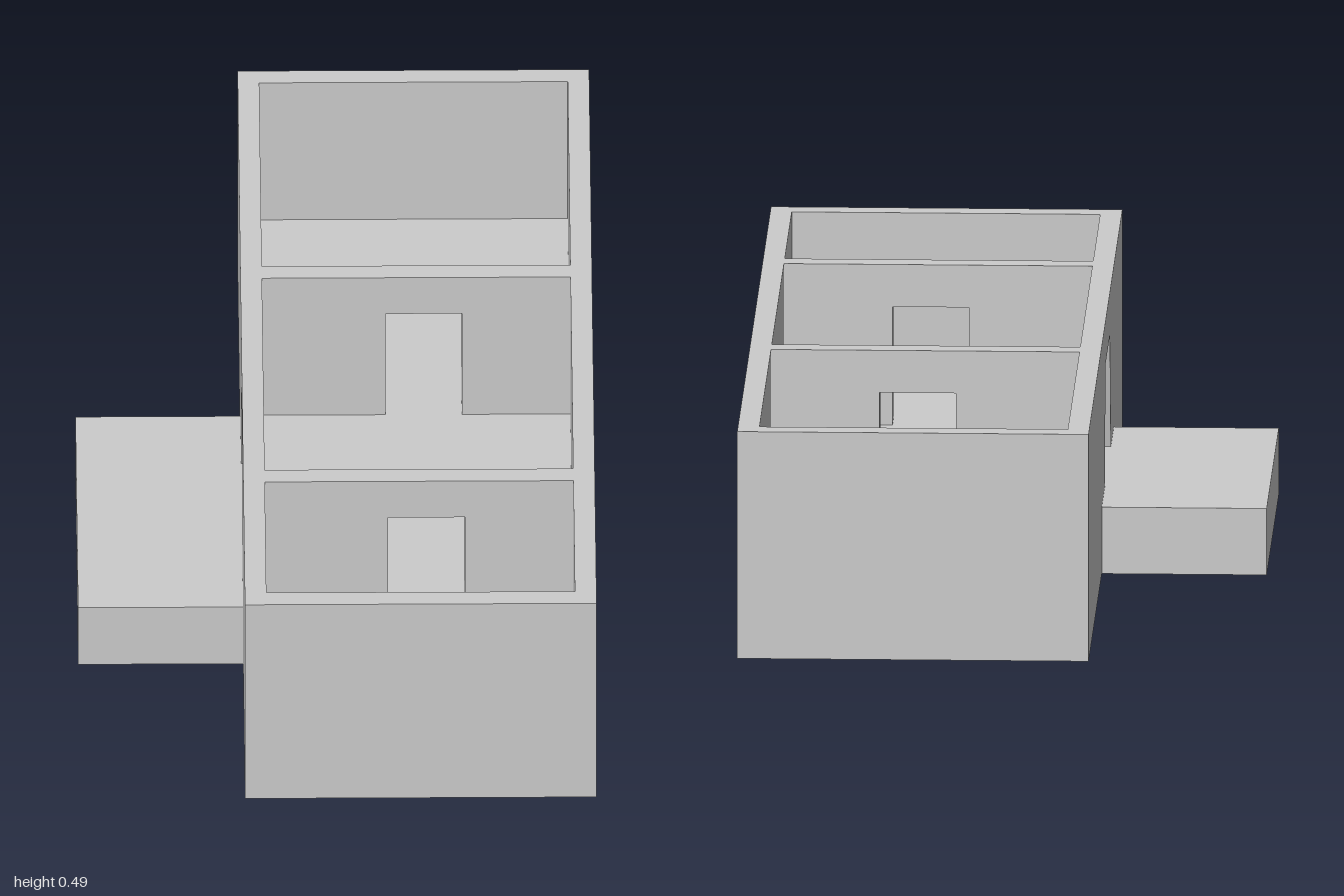
import * as THREE from 'three';

const FLOOR = 0.143, TOP = 0.488, DOOR_TOP = 0.397, T = 0.045;
const X0 = -0.195, X1 = 0.54;

export function createModel() {
  const model = new THREE.Group();
  const material = new THREE.MeshStandardMaterial({ color: 0xcccccc, flatShading: true });

  const add = (name, geometry) => {
    const mesh = new THREE.Mesh(geometry, material);
    mesh.name = name;
    model.add(mesh);
  };
  const extrude = (points, depth) => new THREE.ExtrudeGeometry(
    new THREE.Shape(points.map(([x, y]) => new THREE.Vector2(x, y))),
    { depth, bevelEnabled: false });

  // Wall elevation from a to b; door = [bottom start, top start, top end, bottom end]
  const elevation = (a, b, door) => {
    const notch = door ? [
      [door[0], FLOOR], [door[1], DOOR_TOP], [door[2], DOOR_TOP], [door[3], FLOOR],
    ] : [];
    return [[a, FLOOR], ...notch, [b, FLOOR], [b, TOP], [a, TOP]];
  };

  // Floor slab with the side terrace, drawn in plan (shape y = -z)
  const plan = [
    [X0, -1], [X1, -1], [X1, 1], [X0, 1],
    [X0, 0.22], [-0.54, 0.22], [-0.54, -0.495], [X0, -0.495],
  ];
  add('floorAndTerrace', extrude(plan, FLOOR).rotateX(-Math.PI / 2));

  // Long walls, the terrace side with a tapered doorway
  const longWall = (name, x, door) => add(name,
    extrude(elevation(-1, 1, door), T).rotateY(-Math.PI / 2).translate(x + T, 0, 0));
  longWall('terraceWall', X0, [-0.043, 0.005, 0.265, 0.318]);
  longWall('longWall', X1 - T);

  // Cross walls between the long walls, the inner two with doorways
  const innerDoor = [0.108, 0.108, 0.268, 0.268];
  const crossWall = (name, z, door) => add(name,
    extrude(elevation(X0 + T, X1 - T, door), T).translate(0, 0, z));
  crossWall('backWall', -1);
  crossWall('backPartition', -0.268, innerDoor);
  crossWall('frontPartition', 0.495, innerDoor);
  crossWall('frontWall', 1 - T);

  return model;
}
